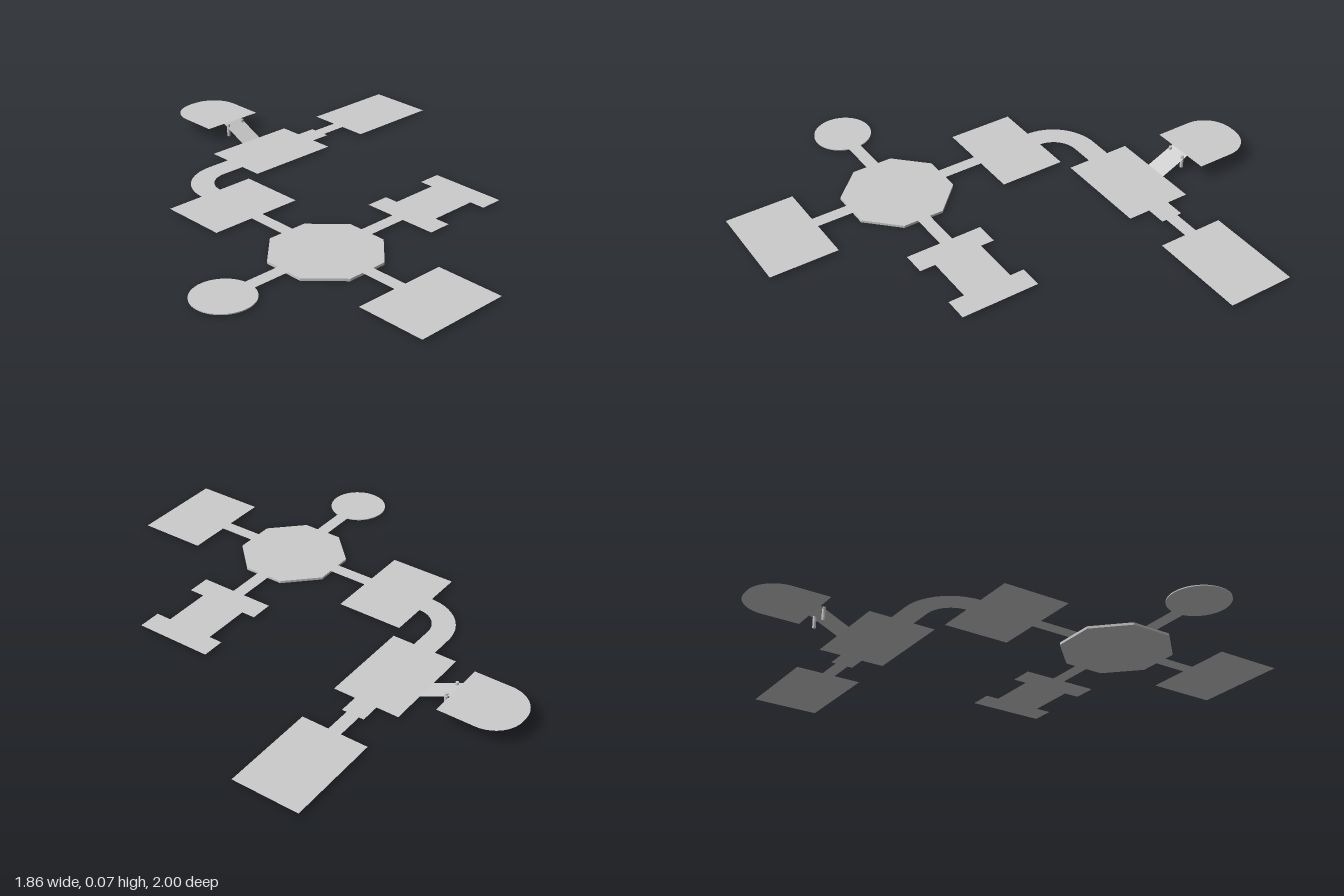
import * as THREE from 'three';

const FLOOR = 0.01;   // height of the main floor sheets
const UPPER = 0.065;  // height of the raised room

export function createModel() {
  const group = new THREE.Group();
  const material = new THREE.MeshStandardMaterial({
    color: 0xcccccc, side: THREE.DoubleSide, flatShading: true,
  });

  function add(name, geometry, x = 0, y = 0, z = 0) {
    const mesh = new THREE.Mesh(geometry, material);
    mesh.name = name;
    mesh.position.set(x, y, z);
    group.add(mesh);
    return mesh;
  }

  // Flat sheet from a plan shape drawn with (x, -z)
  function sheet(name, shape, y = FLOOR) {
    return add(name, new THREE.ShapeGeometry(shape, 24).rotateX(-Math.PI / 2), 0, y, 0);
  }

  function rect(name, x0, x1, z0, z1) {
    const geometry = new THREE.PlaneGeometry(x1 - x0, z1 - z0).rotateX(-Math.PI / 2);
    return add(name, geometry, (x0 + x1) / 2, FLOOR, (z0 + z1) / 2);
  }

  const plan = (points) => new THREE.Shape(points.map(([x, z]) => new THREE.Vector2(x, -z)));

  // Rectangular rooms
  rect('frontRoom', -0.53, -0.13, 0.715, 1);
  rect('middleRoom', -0.53, -0.13, -0.31, -0.03);
  rect('backRoom', -0.075, 0.327, -0.6, -0.32);
  rect('sideRoom', 0.523, 0.927, -0.6, -0.32);

  // Straight corridors
  rect('frontCorridor', -0.357, -0.303, 0.555, 0.715);
  rect('middleCorridor', -0.357, -0.303, -0.03, 0.14);
  rect('rightCorridor', -0.7, -0.535, 0.322, 0.376);
  rect('leftCorridor', -0.125, 0.047, 0.322, 0.376);
  rect('wideSideCorridor', 0.327, 0.41, -0.507, -0.413);
  rect('narrowSideCorridor', 0.41, 0.523, -0.487, -0.433);

  // Octagonal hub slab, slightly thick
  const a = 0.21, b = 0.086, cx = -0.33, cz = 0.35;
  const hub = plan([[-b, -a], [-a, -b], [-a, b], [-b, a], [b, a], [a, b], [a, -b], [b, -a]]
    .map(([x, z]) => [cx + x, cz + z]));
  add('octagonHub', new THREE.ExtrudeGeometry(hub, { depth: FLOOR, bevelEnabled: false })
    .rotateX(-Math.PI / 2));

  // Round room disc
  add('roundRoom', new THREE.CylinderGeometry(0.12, 0.12, 0.004, 48), -0.81, FLOOR - 0.002, 0.345);

  // Room with four corner alcoves
  sheet('alcoveRoom', plan([
    [0.047, 0.52], [0.145, 0.52], [0.145, 0.455], [0.348, 0.455], [0.348, 0.52], [0.445, 0.52],
    [0.445, 0.195], [0.348, 0.195], [0.348, 0.253], [0.145, 0.253], [0.145, 0.195], [0.047, 0.195],
  ]));

  // Curved corridor: quarter bend with a short straight run
  const bend = new THREE.Shape();
  bend.moveTo(-0.075, 0.507);
  bend.lineTo(-0.175, 0.507);
  bend.absarc(-0.175, 0.308, 0.199, Math.PI / 2, Math.PI, false);
  bend.lineTo(-0.28, 0.308);
  bend.absarc(-0.175, 0.308, 0.105, Math.PI, Math.PI / 2, true);
  bend.lineTo(-0.075, 0.413);
  sheet('curvedCorridor', bend);

  // Raised room with a rounded far end
  const r = 0.125;
  const apse = new THREE.Shape();
  apse.moveTo(0, 0.72);
  apse.lineTo(0.27, 0.72);
  apse.absarc(0.27 - r, 1 - r, r, 0, Math.PI / 2, false);
  apse.absarc(r, 1 - r, r, Math.PI / 2, Math.PI, false);
  sheet('raisedRoom', apse, UPPER);

  // Ramp sheet sloping up to the raised room
  const ramp = new THREE.PlaneGeometry(0.096, 0.12).rotateX(-Math.PI / 2);
  const p = ramp.attributes.position;
  for (let i = 0; i < p.count; i++) p.setY(i, p.getZ(i) < 0 ? UPPER : FLOOR);
  ramp.computeVertexNormals();
  add('ramp', ramp, 0.133, 0, -0.66);

  // Posts under the top of the ramp
  for (const side of [-1, 1]) {
    add(side < 0 ? 'rightPost' : 'leftPost',
      new THREE.CylinderGeometry(0.007, 0.007, 0.056, 12), 0.133 + side * 0.038, 0.04, -0.702);
  }

  return group;
}
